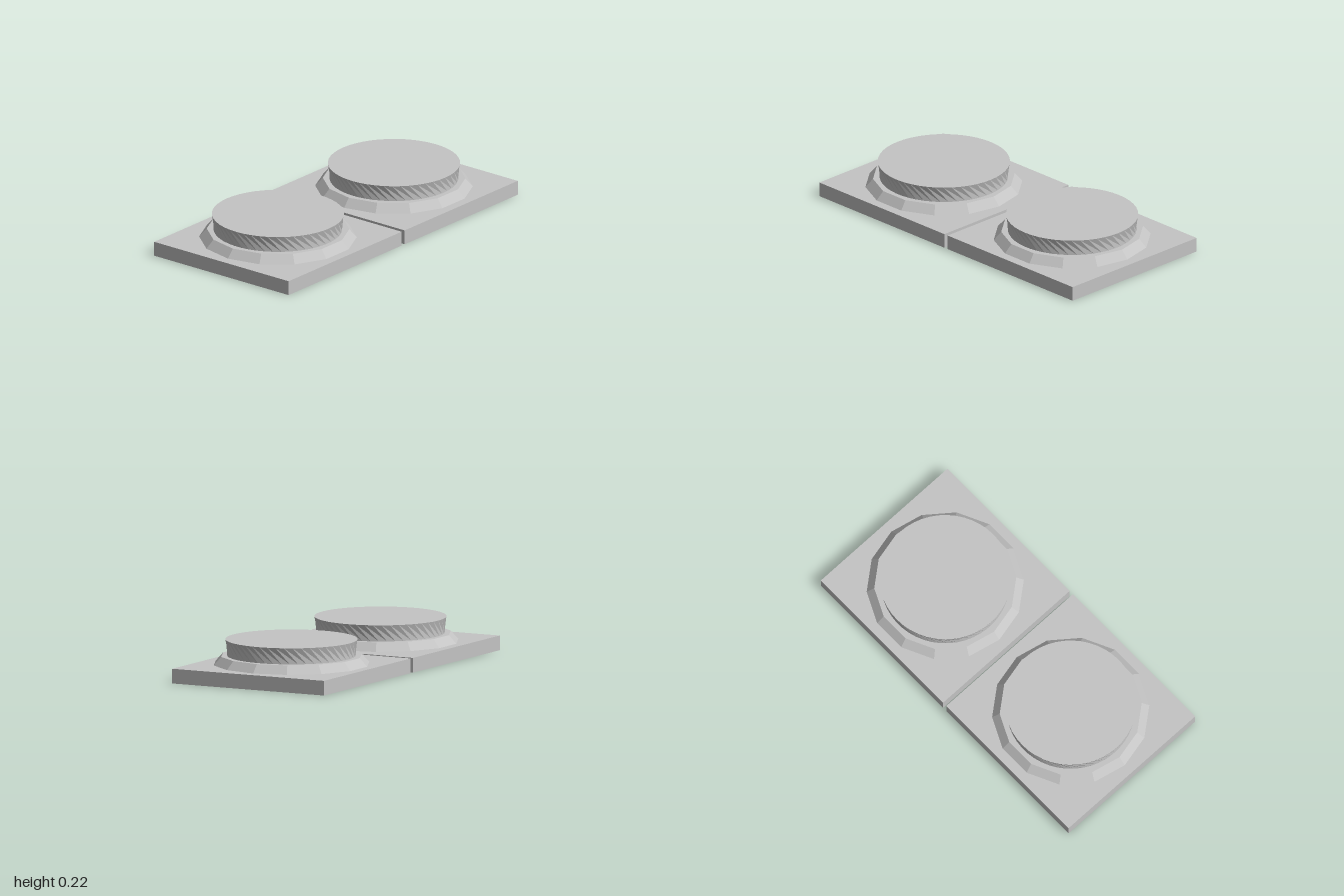
import * as THREE from 'three';

// Give every facet its own flat normal
function faceted(geometry) {
  const flat = geometry.toNonIndexed();
  flat.computeVertexNormals();
  return flat;
}

// Knob whose wall twists and narrows slightly towards its foot
function twistedKnob(topRadius, footRadius, height, twist) {
  const geometry = new THREE.CylinderGeometry(topRadius, footRadius, height, 48, 1);
  const pos = geometry.attributes.position;
  const v = new THREE.Vector3();
  const up = new THREE.Vector3(0, 1, 0);
  for (let i = 0; i < pos.count; i++) {
    v.fromBufferAttribute(pos, i);
    if (v.y < 0) v.applyAxisAngle(up, twist);
    pos.setXYZ(i, v.x, v.y, v.z);
  }
  return faceted(geometry);
}

export function createModel() {
  const grey = new THREE.MeshStandardMaterial({ color: 0xc4c4c4 });
  grey.name = 'grey';

  const model = new THREE.Group();
  model.name = 'buttonPair';

  const plateHeight = 0.082, collarTop = 0.129, knobTop = 0.22;

  const plateGeometry = new THREE.BoxGeometry(0.987, plateHeight, 0.96);
  // Fourteen-sided bevelled collar with corners on the x axis
  const collarGeometry = faceted(
    new THREE.CylinderGeometry(0.394, 0.436, collarTop - plateHeight, 14).rotateY(Math.PI / 2));
  const knobGeometry = twistedKnob(0.366, 0.356, knobTop - collarTop, 0.35);

  for (const [side, sign] of [['left', 1], ['right', -1]]) {
    const unit = new THREE.Group();
    unit.name = side + 'Button';
    unit.position.x = sign * 0.5065;

    const add = (name, geometry, y) => {
      const mesh = new THREE.Mesh(geometry, grey);
      mesh.name = name;
      mesh.position.y = y;
      unit.add(mesh);
    };
    add('basePlate', plateGeometry, plateHeight / 2);
    add('collar', collarGeometry, (plateHeight + collarTop) / 2);
    add('knob', knobGeometry, (collarTop + knobTop) / 2);
    model.add(unit);
  }
  return model;
}
